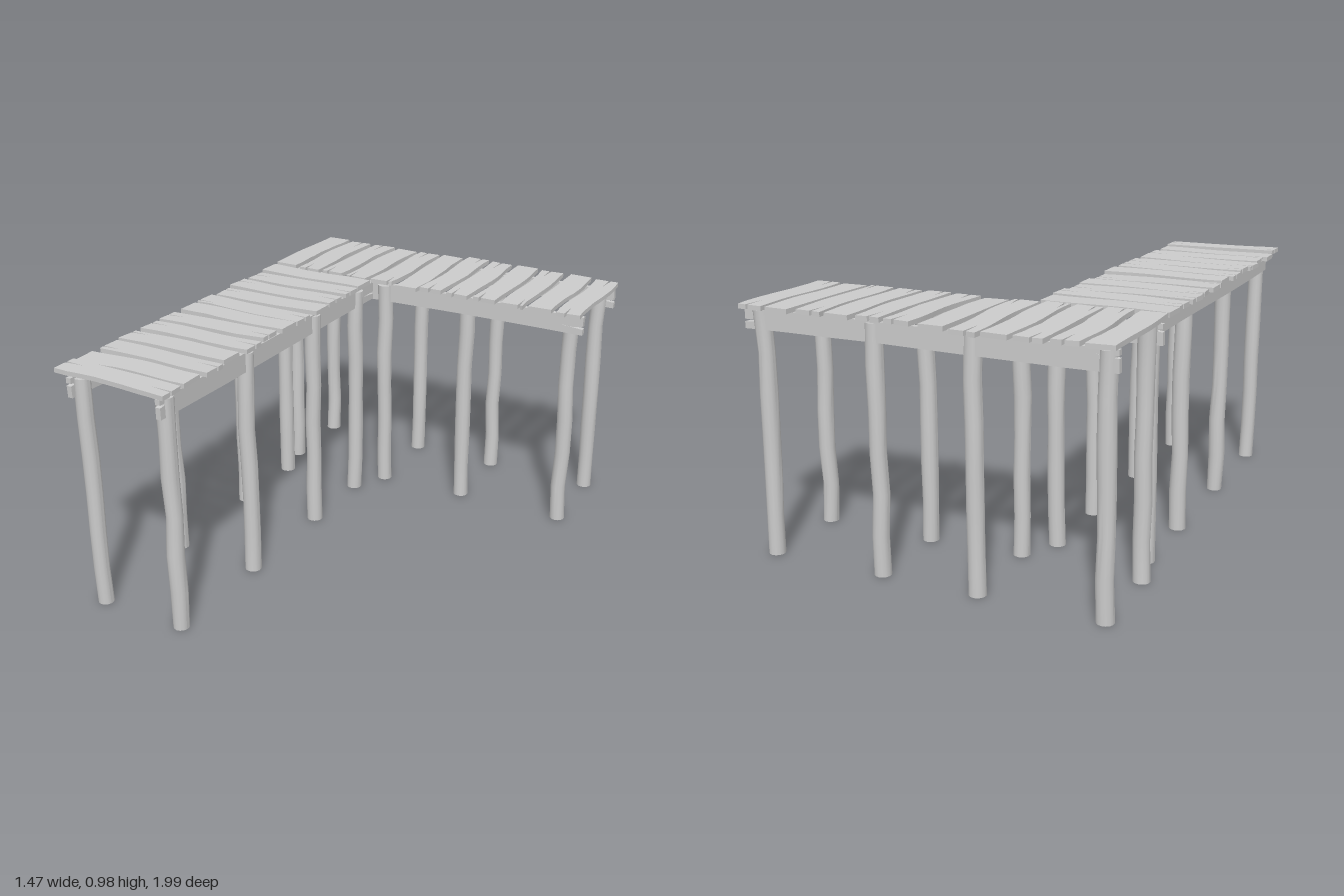
import * as THREE from 'three';
import { toCreasedNormals } from 'three/addons/utils/BufferGeometryUtils.js';

const wood = new THREE.MeshStandardMaterial({ color: 0xcccccc });

// Small repeatable variation in -1..1
function makeRandom(seed) {
  let s = seed * 7919 + 17;
  return () => {
    s = (s * 16807 + 11) % 2147483647;
    return (s / 2147483647) * 2 - 1;
  };
}

// Hand-cut board: wavy long edges, optional split in either end.
// Lies along x, its width along y, its thickness centred on z.
function boardGeometry(length, width, thick, wave, seed, splitStart, splitEnd) {
  const rnd = makeRandom(seed);
  for (let i = 0; i < 5; i++) rnd();
  const n = 8, h = width / 2, L = length / 2;
  const phase = rnd() * 3, phase2 = rnd() * 3;
  const lower = [], upper = [];
  for (let i = 0; i <= n; i++) {
    const x = -L + (length * i) / n;
    const bend = Math.sin(i * 0.8 + phase) * wave;
    lower.push([x, -h + bend + rnd() * wave * 0.4]);
    upper.push([x, h + bend * 0.7 + Math.sin(i * 0.9 + phase2) * wave * 0.5]);
  }
  lower[0][0] += rnd() * wave;
  upper[n][0] += rnd() * wave;
  const pts = [...lower];
  if (splitEnd) {
    const y = splitEnd * h;
    pts.push([L, y - 0.005], [L - 0.09, y + 0.003], [L, y + 0.005]);
  }
  pts.push(...upper.reverse());
  if (splitStart) {
    const y = splitStart * h;
    pts.push([-L, y + 0.005], [-L + 0.08, y + 0.004], [-L, y - 0.005]);
  }
  const shape = new THREE.Shape(pts.map(([x, y]) => new THREE.Vector2(x, y)));
  const geo = new THREE.ExtrudeGeometry(shape, { depth: thick, bevelEnabled: false });
  return toCreasedNormals(geo.translate(0, 0, -thick / 2), 0.6);
}

// Round post with a slightly crooked trunk
function postGeometry(height, radius, seed) {
  const rnd = makeRandom(seed);
  for (let i = 0; i < 5; i++) rnd();
  const rows = 6;
  const offsets = Array.from({ length: rows + 1 }, () => [rnd() * 0.004, rnd() * 0.004, 1 + rnd() * 0.05]);
  const geo = new THREE.CylinderGeometry(radius, radius, height, 14, rows);
  const p = geo.attributes.position;
  for (let i = 0; i < p.count; i++) {
    const row = Math.round((p.getY(i) / height + 0.5) * rows);
    const [dx, dz, k] = offsets[row];
    p.setXYZ(i, p.getX(i) * k + dx, p.getY(i), p.getZ(i) * k + dz);
  }
  return toCreasedNormals(geo.translate(0, height / 2, 0), 0.7);
}

function add(parent, name, geometry) {
  const mesh = new THREE.Mesh(geometry, wood);
  mesh.name = name;
  parent.add(mesh);
  return mesh;
}

// Row of twelve planks; across = true lays each plank along x, else along z
function plankRow(name, across, start, centre) {
  const row = new THREE.Group();
  row.name = name;
  const splits = [[0, 0], [0.5, 0], [0.2, -0.2], [-0.6, 0.3], [0.4, 0.2]];
  for (let i = 0; i < 12; i++) {
    const seed = i + (across ? 40 : 3);
    const rnd = makeRandom(seed);
    for (let k = 0; k < 9; k++) rnd();
    const [a, b] = splits[(i * 2) % 5];
    const geo = boardGeometry(0.492, 0.099, 0.018, 0.006, seed, a, b);
    geo.rotateX(-Math.PI / 2);
    if (!across) geo.rotateY(Math.PI / 2);
    const plank = add(row, 'plank', geo);
    const along = start + i * 0.1234;
    const shift = centre + (i % 2 ? 0.006 : -0.003);
    plank.position.set(across ? shift : along, 0.966 + rnd() * 0.004, across ? along : shift);
    plank.rotation.set(rnd() * 0.014, rnd() * 0.016, rnd() * 0.014);
  }
  return row;
}

// Upright beam under the planks
function beam(parent, name, length, x, z, alongZ, seed) {
  const geo = boardGeometry(length, 0.077, 0.021, 0.002, seed, 0.35, -0.25);
  if (alongZ) geo.rotateY(Math.PI / 2);
  add(parent, name, geo).position.set(x, 0.914, z);
}

export function createModel() {
  const model = new THREE.Group();
  model.name = 'lShapedDock';

  // Decking
  model.add(plankRow('backDeck', false, -0.683, -0.745));
  model.add(plankRow('frontDeck', true, -0.424, -0.477));

  // Beams
  const beams = new THREE.Group();
  beams.name = 'beams';
  beam(beams, 'backDeckRearBeam', 1.455, 0, -0.935, false, 5);
  beam(beams, 'backDeckFrontBeam', 1.455, 0, -0.542, false, 6);
  beam(beams, 'frontDeckRightBeam', 1.52, -0.654, 0.226, true, 7);
  beam(beams, 'frontDeckLeftBeam', 1.52, -0.256, 0.226, true, 8);
  model.add(beams);

  // Posts, in pairs along each arm
  const posts = new THREE.Group();
  posts.name = 'posts';
  const spots = [];
  for (const x of [-0.682, -0.195, 0.19, 0.661]) {
    spots.push([x, -0.923], [x + 0.006, x === -0.195 ? -0.542 : -0.566]);
  }
  for (const z of [0.937, 0.448, -0.04, -0.396]) {
    spots.push([-0.63, z], [-0.264, z - 0.003]);
  }
  spots.forEach(([x, z], i) => {
    add(posts, 'post', postGeometry(0.947, 0.0325, i + 20)).position.set(x, 0, z);
  });
  model.add(posts);

  return model;
}
